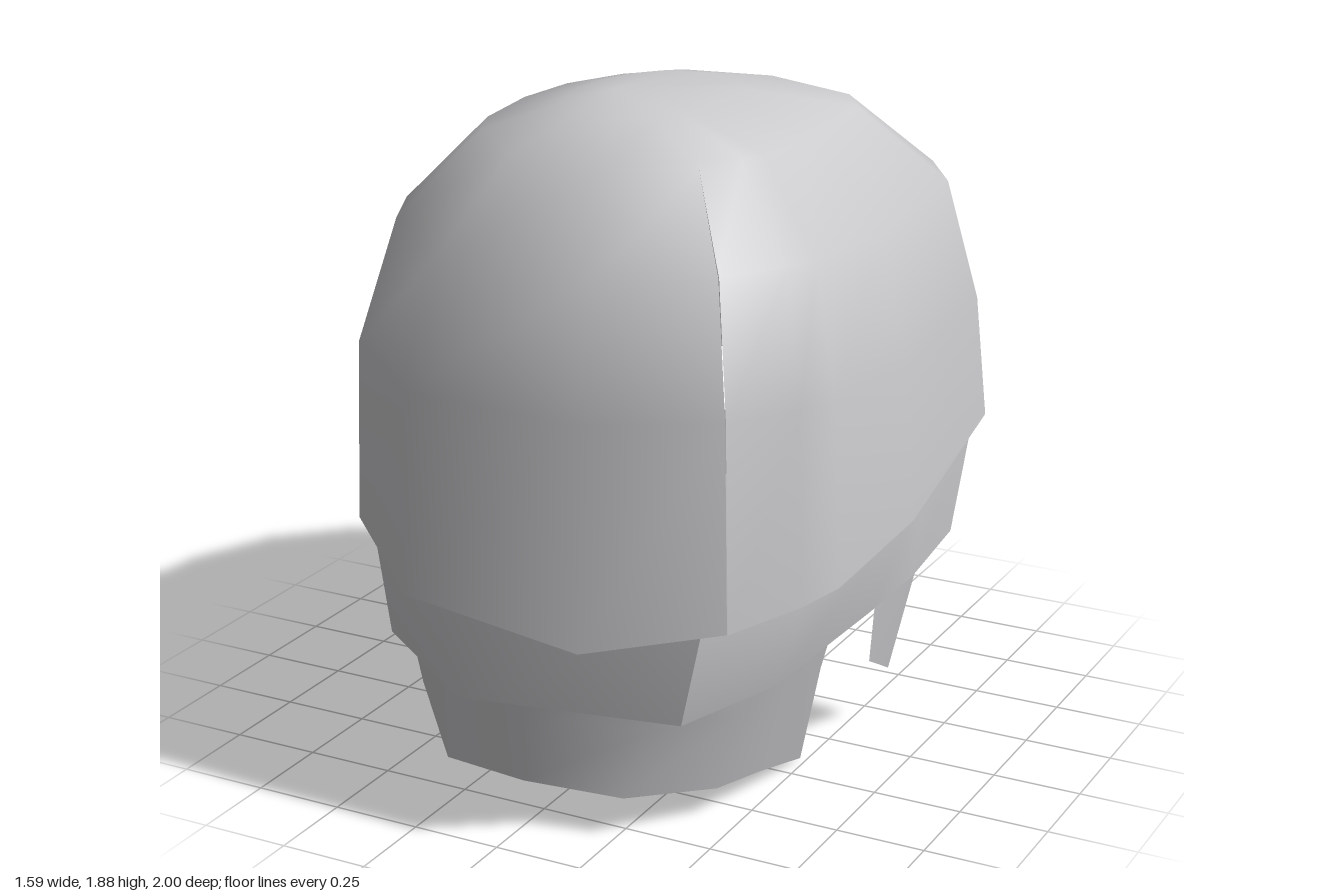
import * as THREE from 'three';
import { mergeVertices } from 'three/addons/utils/BufferGeometryUtils.js';

// Smooth sheet through rows of points (bottom row first, running from +x past the front to -x)
function sheet(rows) {
  const n = rows[0].length, index = [];
  for (let r = 0; r < rows.length - 1; r++) {
    for (let c = 0; c < n - 1; c++) {
      const a = r * n + c, b = a + 1, d = a + n, e = d + 1;
      index.push(a, d, b, b, d, e);
    }
  }
  const geo = new THREE.BufferGeometry();
  geo.setAttribute('position', new THREE.Float32BufferAttribute(rows.flat(2), 3));
  geo.setIndex(index);
  const merged = mergeVertices(geo, 1e-4);
  merged.computeVertexNormals();
  return merged;
}

const mirror = ([x, y, z]) => [-x, y, z];
// Completes a half row that ends on the centre line
const wholeRow = (half) => [...half, ...half.slice(0, -1).reverse().map(mirror)];

export function createModel() {
  const group = new THREE.Group();
  const grey = new THREE.MeshStandardMaterial({ color: 0xcac9cc, side: THREE.DoubleSide });
  grey.name = 'pale grey';
  const add = (name, rows) => {
    const mesh = new THREE.Mesh(sheet(rows), grey);
    mesh.name = name;
    group.add(mesh);
  };

  // Outer cap: uneven rim, drawn in ring by ring towards the crown.
  // The doubled points at front left and back are seams that fade out at the crown.
  const rim = [
    [0.57, 0.64, 0.8], [0.25, 0.6, 1], [-0.28, 0.65, 0.97], [-0.63, 0.695, 0.65],
    [-0.74, 0.715, 0.42], [-0.8, 0.71, -0.02], [-0.77, 0.72, -0.38], [-0.63, 0.72, -0.7],
    [-0.4, 0.78, -0.93], [0.05, 0.81, -1], [0.05, 0.81, -1], [0.57, 0.88, -0.79],
    [0.72, 0.84, -0.56], [0.79, 0.76, 0.13], [0.74, 0.69, 0.5], [0.69, 0.67, 0.61], [0.57, 0.64, 0.8],
  ];
  // height, x scale, x shift, z scale, z shift, seam width
  const rings = [
    [0, 1, 0, 1, 0, 0.002], [1.2, 0.975, 0, 0.955, 0.025, 0.002], [1.54, 0.85, 0.01, 0.86, 0.02, 0.002],
    [1.775, 0.57, 0.03, 0.58, 0.08, 0], [1.84, 0.25, 0, 0.31, 0.13, 0], [1.882, 0, -0.02, 0, 0.28, 0],
  ];
  add('cap', rings.map(([h, sx, dx, sz, dz, seam]) => rim.map(([x, y, z], i) =>
    [x * sx + dx + (i > 9 ? seam : 0), h || y, z * sz + dz])));

  // Middle layer showing below the cap
  const bandLow = [
    [0.69, 0.53, -0.4], [0.7, 0.5, -0.1], [0.68, 0.48, 0.15], [0.6, 0.415, 0.57], [0.44, 0.36, 0.8],
    [-0.15, 0.37, 0.93], [-0.45, 0.44, 0.78], [-0.62, 0.46, 0.5], [-0.66, 0.54, 0.12], [-0.69, 0.46, -0.26],
  ];
  const bandMid = [
    [0.71, 0.84, -0.49], [0.73, 0.77, -0.1], [0.74, 0.72, 0.15], [0.68, 0.68, 0.57], [0.5, 0.64, 0.8],
    [-0.22, 0.65, 0.95], [-0.55, 0.69, 0.7], [-0.68, 0.71, 0.45], [-0.74, 0.71, 0.1], [-0.72, 0.74, -0.44],
  ];
  const bandTop = bandMid.map(([x, y, z]) => [x * 0.97, y * 0.6 + 0.65, z * 0.96]);
  const bandRows = [bandLow, bandMid, bandTop];
  add('bandLeft', bandRows.map((row) => row.slice(0, 5)));
  add('bandFrontAndRight', bandRows.map((row) => row.slice(4)));

  // Inner shell, from behind the band up into the cap
  const shellLow = [
    [0.665, 0.51, -0.235], [0.635, 0.49, 0], [0.6, 0.47, 0.19], [0.575, 0.45, 0.4],
    [0.53, 0.45, 0.6], [0.38, 0.45, 0.79], [0, 0.45, 0.875],
  ];
  const shellMid = [
    [0.69, 0.85, -0.35], [0.695, 0.85, 0], [0.68, 0.85, 0.19], [0.65, 0.85, 0.42],
    [0.57, 0.85, 0.6], [0.42, 0.85, 0.77], [0, 0.85, 0.9],
  ];
  const shellTop = [
    [0.7, 1.15, -0.42], [0.735, 1.15, 0], [0.72, 1.17, 0.19], [0.69, 1.2, 0.42],
    [0.6, 1.2, 0.6], [0.44, 1.2, 0.77], [0, 1.2, 0.945],
  ];
  add('innerShell', [shellLow, shellMid, shellTop].map(wholeRow));

  // Lowest layer, hanging from the front of the shell and tapering downward
  const hem = [[0.48, 0, 0.15], [0.46, 0.05, 0.37], [0.43, 0.08, 0.57], [0.27, 0.115, 0.8], [0, 0.13, 0.855]];
  const aboveHem = [[0.56, 0.31, 0.2], [0.535, 0.31, 0.39], [0.495, 0.31, 0.59], [0.345, 0.32, 0.795], [0, 0.33, 0.868]];
  add('lowerLayer', [hem, aboveHem, shellLow.slice(2)].map(wholeRow));

  // Pointed strip hanging from each rear corner of the shell
  const strip = [[[0.6, 0.17, -0.18], [0.605, 0.25, -0.03]], shellLow.slice(0, 2)];
  add('sideStripLeft', strip);
  add('sideStripRight', strip.map((row) => row.map(mirror).reverse()));

  return group;
}
